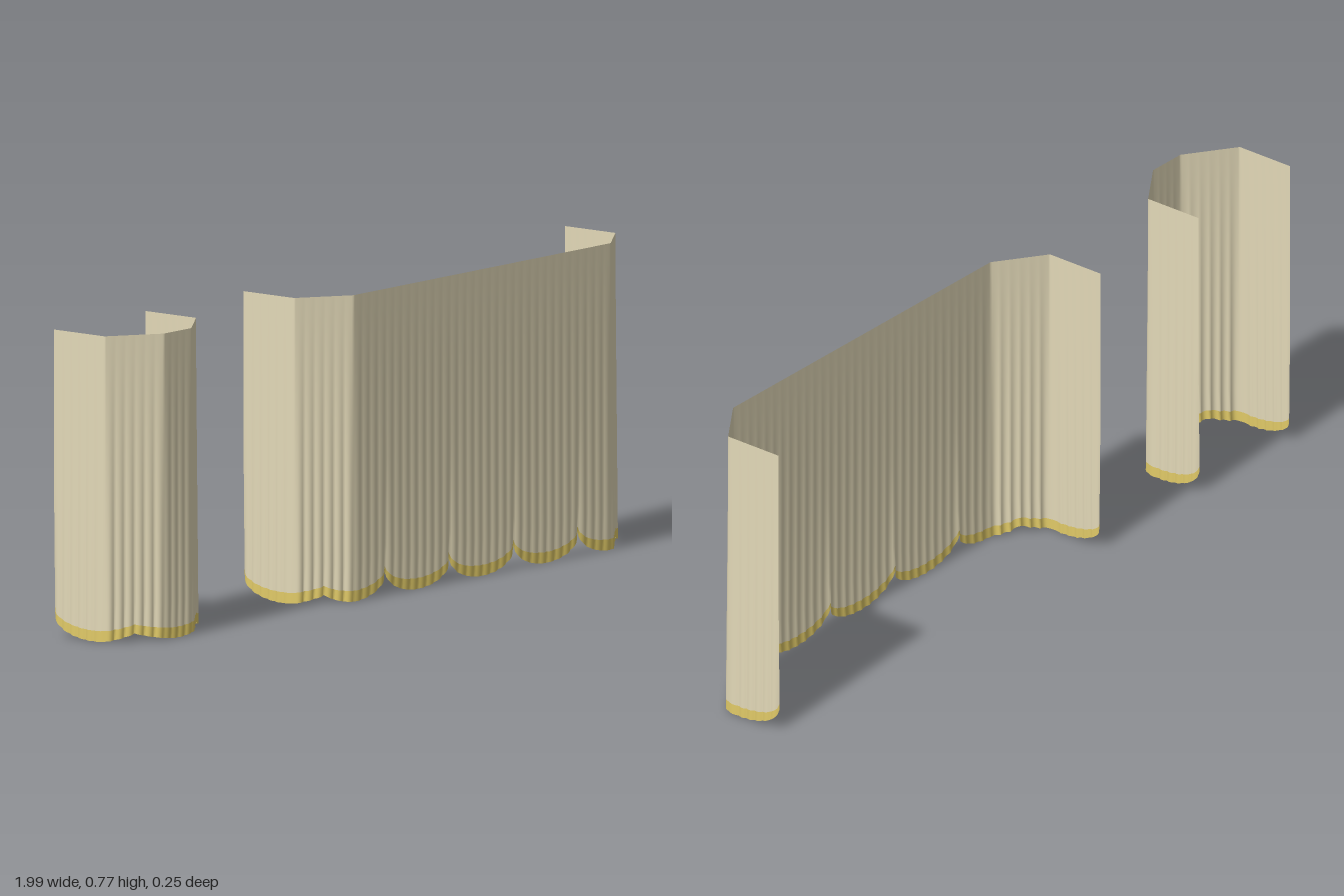
import * as THREE from 'three';

const HEIGHT = 0.768;
const BACK = -0.126, CORNER = 0.035, FRONT = 0.122, BEVEL = 0.125;

// Half of a curtain's plan: [x, z, scallop position], 0 = lobe centre, 1 = cusp
function curtainPath(centre, halfWidth, frontPoints, cornerScallop) {
  const left = [
    [-halfWidth, BACK, 1],
    [-halfWidth, 0, 0],
    [-halfWidth, CORNER, 0.28],
    [-halfWidth + BEVEL / 2, (CORNER + FRONT) / 2, 0.75],
    [-halfWidth + BEVEL, FRONT, cornerScallop],
  ];
  const right = left.map(([x, z, s]) => [-x, z, s]).reverse();
  const front = frontPoints.map(([x, s]) => [x, FRONT, s]);
  return [...left, ...front, ...right].map(([x, z, s]) => [x + centre, z, s]);
}

// Fine columns along the plan, each with its fold depth and hem shape
function curtainColumns(path) {
  const columns = [];
  for (let i = 0; i < path.length - 1; i++) {
    const [ax, az, as] = path[i], [bx, bz, bs] = path[i + 1];
    const dx = bx - ax, dz = bz - az, length = Math.hypot(dx, dz);
    const folds = Math.max(1, Math.round(length / 0.028));
    const diagonal = Math.abs(dx) > 0.01 && Math.abs(dz) > 0.01;
    const depth = diagonal ? 0.007 : 0.004;
    const steps = folds * 6;
    for (let k = i === 0 ? 0 : 1; k <= steps; k++) {
      const t = k / steps;
      const s = as + (bs - as) * t;
      const pinch = diagonal ? 0 : 0.005 * Math.pow(s, 12);
      columns.push({
        x: ax + dx * t, z: az + dz * t,
        nx: -dz / length, nz: dx / length,
        fold: depth * Math.abs(Math.sin(Math.PI * folds * t)),
        pinch,
        lobe: 1 - Math.sqrt(Math.max(0, 1 - s * s)),
      });
    }
  }
  return columns;
}

// Cloth sheet between two heights; folds deepen toward the hem
function clothSheet(columns, bottom, top, rows) {
  const position = [], index = [];
  columns.forEach((c, i) => {
    const y0 = bottom(c), y1 = top(c);
    for (let j = 0; j <= rows; j++) {
      const y = y0 + (y1 - y0) * j / rows;
      const drop = 1 - y / HEIGHT;
      const offset = c.fold * drop - c.pinch * Math.max(0, 1 - y / 0.35);
      position.push(c.x + c.nx * offset, y, c.z + c.nz * offset);
      if (i && j) {
        const d = i * (rows + 1) + j, a = d - rows - 2;
        index.push(a, d - 1, d, a, d, a + 1);
      }
    }
  });
  const geometry = new THREE.BufferGeometry();
  geometry.setAttribute('position', new THREE.Float32BufferAttribute(position, 3));
  geometry.setIndex(index);
  geometry.computeVertexNormals();
  return geometry;
}

function makeCurtain(name, path, cloth, gold) {
  const curtain = new THREE.Group();
  curtain.name = name;
  const columns = curtainColumns(path);
  const hem = c => 0.002 + 0.058 * c.lobe;
  const trimTop = c => 0.029 + 0.046 * c.lobe;

  const drape = new THREE.Mesh(clothSheet(columns, trimTop, () => HEIGHT, 12), cloth);
  drape.name = 'drape';
  const trim = new THREE.Mesh(clothSheet(columns, hem, trimTop, 2), gold);
  trim.name = 'hemTrim';
  curtain.add(drape, trim);
  return curtain;
}

export function createModel() {
  const model = new THREE.Group();
  model.name = 'scallopedCurtains';
  const cloth = new THREE.MeshStandardMaterial({ color: 0xe3d9b8, side: THREE.DoubleSide });
  const gold = new THREE.MeshStandardMaterial({ color: 0xe2cb68, side: THREE.DoubleSide });

  // Wide curtain: five lobes across the front, cusps between them
  const wideFront = [];
  for (let i = 1; i < 8; i++) wideFront.push([-0.5 + i * 0.125, i % 2]);
  model.add(makeCurtain('wideCurtain', curtainPath(0.367, 0.625, wideFront, 0), cloth, gold));

  // Narrow curtain: a single lobe in front
  model.add(makeCurtain('narrowCurtain', curtainPath(-0.817, 0.178, [[0, 0]], 0.42), cloth, gold));
  return model;
}
